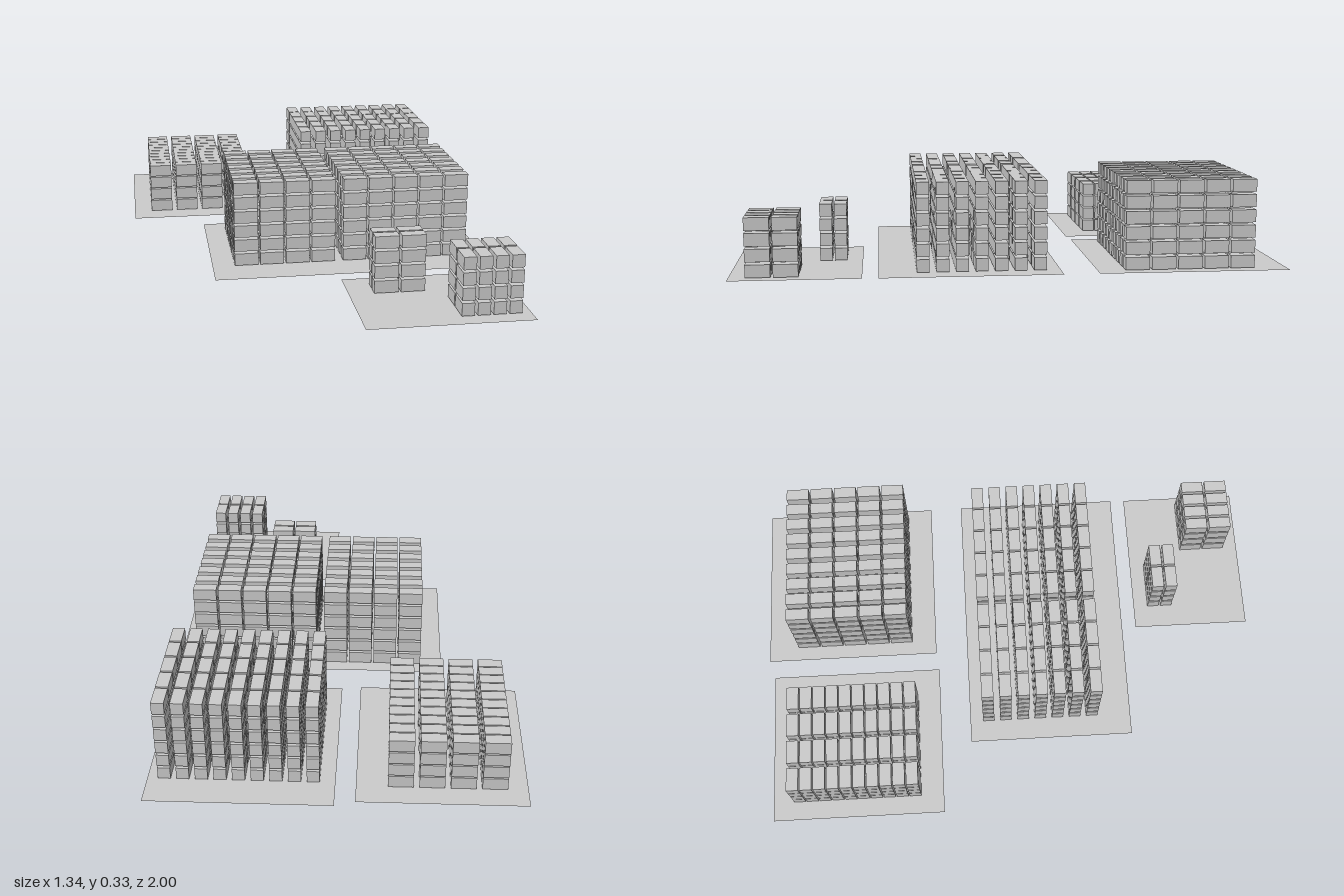
import * as THREE from 'three';

const PLATE_Y = 0.014, STACK_Y = 0.017, BLOCK_H = 0.046;

export function createModel() {
  const model = new THREE.Group();
  const grey = new THREE.MeshStandardMaterial({ color: 0xcccccc, flatShading: true });
  const thin = new THREE.MeshStandardMaterial({ color: 0xcccccc, side: THREE.DoubleSide });
  const unitBox = new THREE.BoxGeometry(1, 1, 1);

  // Thin floor sheet spanning x0..x1, z0..z1
  function plate(name, x0, x1, z0, z1) {
    const geometry = new THREE.PlaneGeometry(x1 - x0, z1 - z0).rotateX(-Math.PI / 2);
    const mesh = new THREE.Mesh(geometry, thin);
    mesh.name = name;
    mesh.position.set((x0 + x1) / 2, PLATE_Y, (z0 + z1) / 2);
    model.add(mesh);
  }

  // Grid of blocks; x and z are { start, size, pitch, count }
  function stack(name, x, z, layers, pitchY) {
    const group = new THREE.Group();
    group.name = name;
    for (let k = 0; k < layers; k++)
      for (let i = 0; i < x.count; i++)
        for (let j = 0; j < z.count; j++) {
          const block = new THREE.Mesh(unitBox, grey);
          block.name = 'block';
          block.scale.set(x.size, BLOCK_H, z.size);
          block.position.set(
            x.start + i * x.pitch + x.size / 2,
            STACK_Y + k * pitchY + BLOCK_H / 2,
            z.start + j * z.pitch + z.size / 2);
          group.add(block);
        }
    model.add(group);
  }
  const row = (start, size, pitch, count) => ({ start, size, pitch, count });

  // Rear left: dense low stack
  plate('rearLeftPlate', -0.67, -0.07, -0.977, -0.297);
  stack('rearLeftStack', row(-0.598, 0.089, 0.109, 4), row(-0.895, 0.046, 0.0513, 10), 4, 0.0515);

  // Rear right: tall stack, blocks lengthwise in z
  plate('rearRightPlate', 0.002, 0.664, -1, -0.307);
  stack('rearRightStack', row(0.057, 0.045, 0.0655, 9), row(-0.88, 0.088, 0.0965, 5), 6, 0.0555);

  // Centre: two tall stacks split by an aisle
  plate('centrePlate', -0.387, 0.665, -0.178, 0.477);
  const centreRows = row(-0.126, 0.046, 0.0702, 7);
  stack('centreLeftStack', row(-0.303, 0.09, 0.0982, 4), centreRows, 6, 0.0555);
  stack('centreRightStack', row(0.113, 0.09, 0.0977, 5), centreRows, 6, 0.0555);

  // Front: two small stacks
  plate('frontPlate', 0.072, 0.663, 0.534, 1);
  stack('frontSmallStack', row(0.163, 0.088, 0.097, 2), row(0.592, 0.046, 0.0545, 2), 4, 0.0555);
  stack('frontCornerStack', row(0.415, 0.045, 0.056, 4), row(0.755, 0.088, 0.097, 2), 4, 0.0555);

  return model;
}
